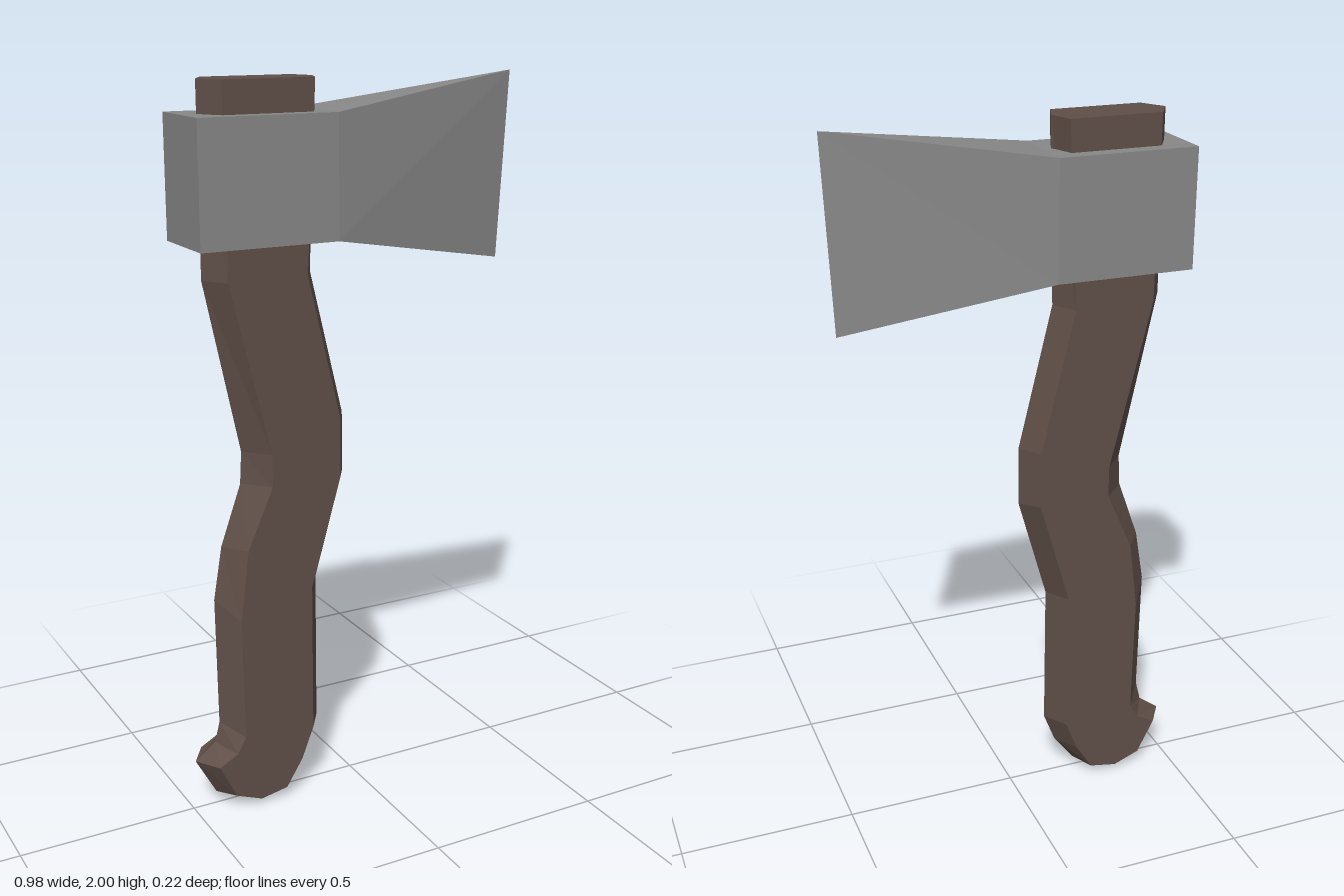
import * as THREE from 'three';

// Flat-faceted geometry from corner points and triangles
function faceted(points, tris) {
  const g = new THREE.BufferGeometry();
  g.setAttribute('position', new THREE.Float32BufferAttribute(points.flat(), 3));
  g.setIndex(tris.flat());
  const flat = g.toNonIndexed();
  flat.computeVertexNormals();
  return flat;
}

// Counter-clockwise handle outline: [rim x, rim y, face x, face y]
const OUTLINE = [
  [-0.43, 2.0, -0.39, 2.0],
  [-0.43, 1.5, -0.385, 1.5],
  [-0.33, 1.03, -0.27, 1.03],
  [-0.335, 0.94, -0.27, 0.94],
  [-0.395, 0.77, -0.345, 0.77],
  [-0.42, 0.62, -0.37, 0.57],
  [-0.415, 0.25, -0.365, 0.22],
  [-0.43, 0.19, -0.39, 0.175],
  [-0.49, 0.145, -0.445, 0.145],
  [-0.43, 0.035, -0.395, 0.045],
  [-0.30, 0.0, -0.32, 0.015],
  [-0.205, 0.03, -0.24, 0.03],
  [-0.145, 0.11, -0.19, 0.11],
  [-0.11, 0.2, -0.155, 0.2],
  [-0.11, 0.63, -0.155, 0.63],
  [-0.025, 0.93, -0.065, 0.94],
  [-0.025, 1.1, -0.065, 1.1],
  [-0.12, 1.5, -0.16, 1.5],
  [-0.11, 2.0, -0.135, 2.0],
];

// Handle: a rim in the middle plane bevelled to a flat face on each side
function handleGeometry() {
  const n = OUTLINE.length, d = 0.068;
  const points = [
    ...OUTLINE.map(p => [p[0], p[1], 0]),
    ...OUTLINE.map(p => [p[2], p[3], d]),
    ...OUTLINE.map(p => [p[2], p[3], -d]),
  ];
  const tris = [];
  for (let i = 0; i < n; i++) {
    const j = (i + 1) % n;
    tris.push([i, j, n + j], [i, n + j, n + i]);
    tris.push([j, i, 2 * n + i], [j, 2 * n + i, 2 * n + j]);
  }
  const face = OUTLINE.map(p => new THREE.Vector2(p[2], p[3]));
  for (const [a, b, c] of THREE.ShapeUtils.triangulateShape(face, [])) {
    tris.push([n + a, n + b, n + c], [2 * n + c, 2 * n + b, 2 * n + a]);
  }
  return faceted(points, tris);
}

// Head: a block whose sides run on to a slightly twisted cutting edge
function headGeometry() {
  const w = 0.11, lo = 1.59, hi = 1.915, back = -0.475, mid = -0.09;
  const points = [
    [back, lo, w], [back, hi, w], [back, hi, -w], [back, lo, -w],
    [mid, lo, w], [mid, hi, w], [mid, hi, -w], [mid, lo, -w],
    [0.475, 1.485, -0.012], [0.49, 2.0, 0.01],
  ];
  const quad = (a, b, c, d) => [[a, b, c], [a, c, d]];
  return faceted(points, [
    ...quad(0, 1, 2, 3), // poll
    ...quad(0, 4, 5, 1), ...quad(3, 2, 6, 7), // block sides
    ...quad(1, 5, 6, 2), ...quad(0, 3, 7, 4), // block top and bottom
    ...quad(4, 8, 9, 5), ...quad(7, 6, 9, 8), // blade sides
    [5, 9, 6], [4, 7, 8], // blade top and bottom
  ]);
}

export function createModel() {
  const wood = new THREE.MeshStandardMaterial({ color: 0x604f48 });
  wood.name = 'brown wood';
  const steel = new THREE.MeshStandardMaterial({ color: 0x888888 });
  steel.name = 'grey steel';

  const handle = new THREE.Mesh(handleGeometry(), wood);
  handle.name = 'handle';
  const head = new THREE.Mesh(headGeometry(), steel);
  head.name = 'axeHead';

  const axe = new THREE.Group();
  axe.name = 'axe';
  axe.add(handle, head);
  return axe;
}
